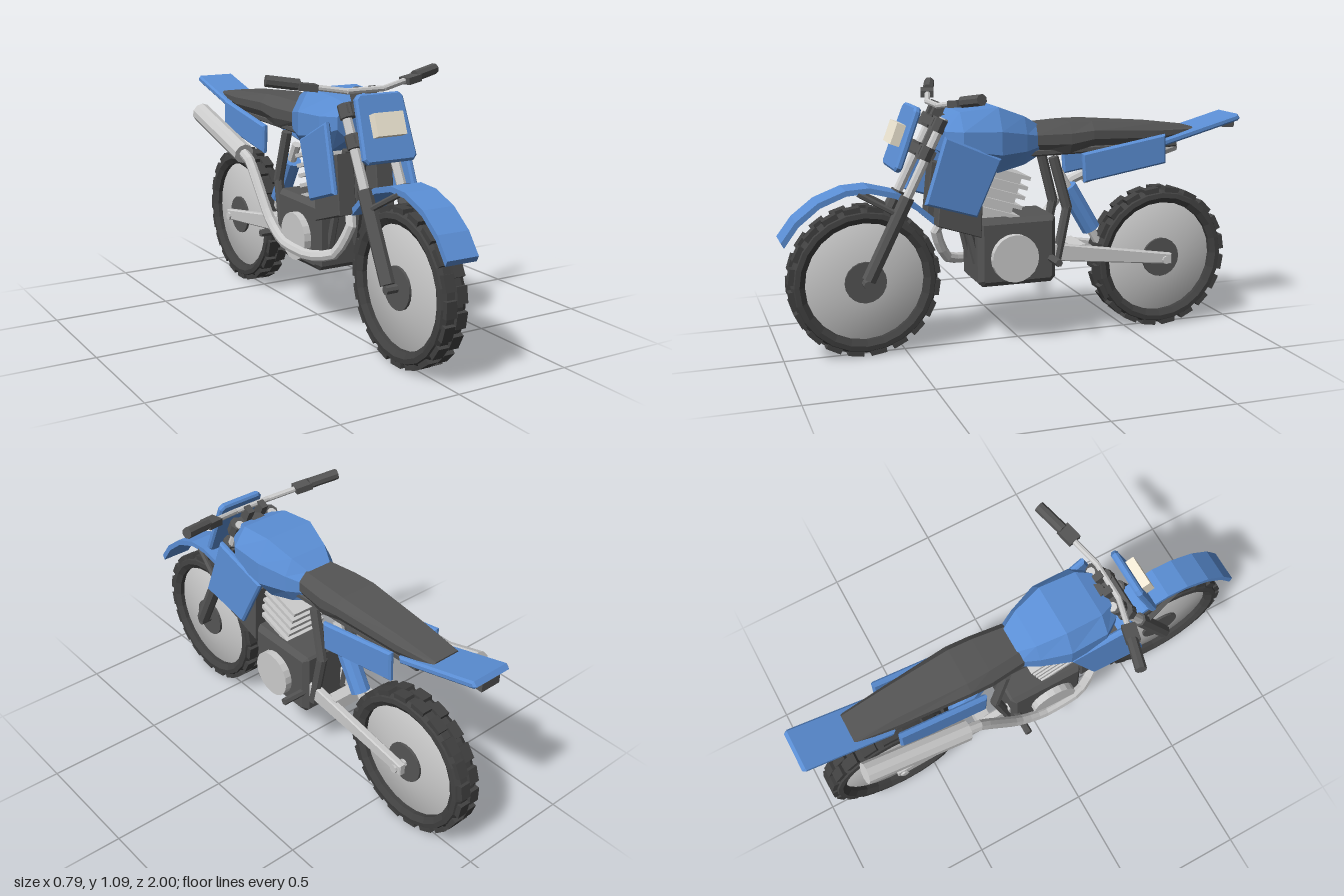
import * as THREE from 'three';

const mat = (color, side = THREE.FrontSide) => new THREE.MeshStandardMaterial({ color, flatShading: true, side });
const BLUE = mat(0x5b8fd6), DARK = mat(0x555555), TYRE = mat(0x414141), LIGHT = mat(0xcccccc), CREAM = mat(0xf2ead6);
const V = (x, y, z) => new THREE.Vector3(x, y, z);

function add(parent, name, geo, material, pos = [0, 0, 0], rotX = 0) {
  const m = new THREE.Mesh(geo, material);
  m.name = name;
  m.position.set(...pos);
  m.rotation.x = rotX;
  parent.add(m);
  return m;
}

const box = (p, name, size, material, pos, rotX) => add(p, name, new THREE.BoxGeometry(...size), material, pos, rotX);

// Round bar between two points
function rod(parent, name, a, b, r0, r1, material, sides = 8) {
  const A = V(...a), B = V(...b), d = B.clone().sub(A);
  const m = add(parent, name, new THREE.CylinderGeometry(r1, r0, d.length(), sides), material);
  m.position.copy(A).add(B).multiplyScalar(0.5);
  m.quaternion.setFromUnitVectors(V(0, 1, 0), d.normalize());
  return m;
}

// Cylinder lying along x
const hub = (p, name, r, width, material, pos, sides = 20) =>
  add(p, name, new THREE.CylinderGeometry(r, r, width, sides).rotateZ(Math.PI / 2), material, pos);

// Bevelled plate: outline in (z, y), centred on x, sheared outwards along z and y
function plate(parent, name, outline, x, thick, material, bevel = 0.008, shearZ = 0, shearY = 0) {
  const shape = new THREE.Shape(outline.map(p => new THREE.Vector2(...p)));
  const geo = new THREE.ExtrudeGeometry(shape, {
    depth: thick - 2 * bevel, bevelEnabled: bevel > 0, bevelThickness: bevel, bevelSize: bevel, bevelOffset: -bevel, bevelSegments: 1,
  });
  geo.translate(0, 0, bevel - thick / 2).rotateY(-Math.PI / 2);
  const n = outline.length, cz = outline.reduce((s, p) => s + p[0], 0) / n, cy = outline.reduce((s, p) => s + p[1], 0) / n;
  const pos = geo.attributes.position;
  for (let i = 0; i < pos.count; i++)
    pos.setX(i, pos.getX(i) + x + shearZ * (pos.getZ(i) - cz) + shearY * (pos.getY(i) - cy));
  geo.computeVertexNormals();
  return add(parent, name, geo, material);
}

// Skin over eight-sided sections [z, half width, bottom, top, top half width, bottom half width], z rising
function loft(parent, name, sections, material) {
  const pts = [], idx = [], last = (sections.length - 1) * 8;
  for (const [z, w, y0, y1, t, b] of sections) {
    const h = y1 - y0, lo = y0 + h * 0.3, hi = y0 + h * 0.65;
    for (const [x, y] of [[w, lo], [w, hi], [t, y1], [-t, y1], [-w, hi], [-w, lo], [-b, y0], [b, y0]]) pts.push(x, y, z);
  }
  for (let s = 0; s < last; s += 8)
    for (let k = 0; k < 8; k++) {
      const a = s + k, b = s + (k + 1) % 8;
      idx.push(a, b, a + 8, b, b + 8, a + 8);
    }
  for (let k = 1; k < 7; k++) idx.push(0, k + 1, k, last, last + k, last + k + 1);
  const geo = new THREE.BufferGeometry();
  geo.setAttribute('position', new THREE.Float32BufferAttribute(pts, 3));
  geo.setIndex(idx);
  geo.computeVertexNormals();
  return add(parent, name, geo, material);
}

function wheel(name, z) {
  const g = new THREE.Group();
  g.name = name;
  g.position.set(0, 0.312, z);
  const ring = [[0.245, -0.042], [0.268, -0.057], [0.288, -0.054], [0.299, -0.034], [0.299, 0.034], [0.288, 0.054], [0.268, 0.057], [0.245, 0.042], [0.245, -0.042]];
  add(g, 'tyre', new THREE.LatheGeometry(ring.map(p => new THREE.Vector2(...p)), 24).rotateZ(Math.PI / 2), TYRE);
  // Shallow dished disc, smooth
  const dish = [[0, -0.042], [0.08, -0.04], [0.25, -0.022], [0.25, 0.022], [0.08, 0.04], [0, 0.042]];
  const smooth = new THREE.MeshStandardMaterial({ color: 0xcccccc });
  add(g, 'wheelDisc', new THREE.LatheGeometry(dish.map(p => new THREE.Vector2(...p)), 32).rotateZ(Math.PI / 2), smooth);
  hub(g, 'hub', 0.086, 0.1, DARK, [0, 0, 0]);
  // Two staggered rows of tread blocks
  const N = 20;
  for (let i = 0; i < N * 2; i++) {
    const a = i * Math.PI / N, side = i % 2 ? 1 : -1;
    box(g, 'treadBlock', [0.046, 0.024, 0.065], TYRE, [side * 0.024, 0.299 * Math.cos(a), 0.299 * Math.sin(a)], a);
  }
  return g;
}

export function createModel() {
  const g = new THREE.Group();
  g.name = 'motorbike';
  g.add(wheel('frontWheel', 0.665), wheel('rearWheel', -0.65));
  rod(g, 'frontAxle', [-0.1, 0.312, 0.665], [0.1, 0.312, 0.665], 0.018, 0.018, DARK);
  rod(g, 'rearAxle', [-0.11, 0.312, -0.65], [0.11, 0.312, -0.65], 0.018, 0.018, LIGHT);

  // Front mudguard, an arched strip
  const arc = [[1, 0.505], [0.94, 0.585], [0.85, 0.655], [0.74, 0.697], [0.645, 0.703], [0.535, 0.675], [0.445, 0.62], [0.37, 0.555]];
  const inner = arc.map(([z, y]) => [0.66 + (z - 0.66) * 0.965, y - 0.022]).reverse();
  plate(g, 'frontMudguard', [...arc, ...inner], 0, 0.138, BLUE, 0);

  // Parts found on both sides
  for (const s of [-1, 1]) {
    rod(g, 'lowerFork', [s * 0.085, 0.33, 0.66], [s * 0.085, 0.66, 0.495], 0.03, 0.03, DARK);
    rod(g, 'upperFork', [s * 0.085, 0.65, 0.5], [s * 0.085, 0.97, 0.34], 0.02, 0.02, LIGHT);
    rod(g, 'mudguardStay', [s * 0.06, 0.68, 0.69], [s * 0.085, 0.6, 0.55], 0.012, 0.012, DARK, 6);
    for (const [y, z] of [[0.945, 0.365], [0.835, 0.42]]) rod(g, 'forkClamp', [s * 0.085, y - 0.025, z + 0.0125], [s * 0.085, y + 0.025, z - 0.0125], 0.034, 0.034, DARK);
    plate(g, 'tankShroud', [[0.36, 0.91], [0.12, 0.805], [0.23, 0.575], [0.45, 0.645]], s * 0.165, 0.028, BLUE, 0.008, s * 0.11, s * -0.02);
    plate(g, 'radiator', [[0.36, 0.78], [0.19, 0.73], [0.2, 0.48], [0.385, 0.54]], s * 0.09, 0.08, DARK, 0.004);
    plate(g, 'rearSidePanel', [[-0.24, 0.805], [-0.62, 0.87], [-0.625, 0.745], [-0.25, 0.682]], s * 0.118, 0.026, BLUE);
    plate(g, 'swingarm', [[-0.12, 0.425], [-0.68, 0.337], [-0.68, 0.29], [-0.12, 0.35]], s * 0.085, 0.032, LIGHT, 0.005);
    rod(g, 'frameUpright', [s * 0.075, 0.79, -0.13], [s * 0.085, 0.57, -0.19], 0.022, 0.022, DARK);
    rod(g, 'frameLower', [s * 0.085, 0.58, -0.19], [s * 0.085, 0.33, -0.14], 0.022, 0.022, DARK);
    rod(g, 'frameRail', [s * 0.075, 0.81, 0], [s * 0.06, 0.82, -0.7], 0.016, 0.016, DARK, 6);
    rod(g, 'frameDownTube', [s * 0.045, 0.78, 0.3], [s * 0.06, 0.36, 0.2], 0.018, 0.018, DARK, 6);
    hub(g, 'engineCover', 0.1, 0.035, LIGHT, [s * 0.138, 0.387, 0.06]);
    rod(g, 'footpeg', [s * 0.09, 0.37, -0.105], [s * 0.22, 0.37, -0.105], 0.016, 0.016, DARK, 6);
    // Handlebar half with control and grip
    const bar = [[0, 1.022, 0.365], [s * 0.085, 1.022, 0.365], [s * 0.2, 1.04, 0.333], [s * 0.28, 1.052, 0.312]];
    for (let i = 0; i < 3; i++) rod(g, 'handlebar', bar[i], bar[i + 1], 0.012, 0.012, LIGHT);
    const control = box(g, 'handControl', [0.075, 0.028, 0.055], DARK, [s * 0.238, 1.044, 0.325]);
    control.rotation.set(0, s * 0.25, s * 0.12);
    rod(g, 'grip', [s * 0.265, 1.053, 0.314], [s * 0.39, 1.072, 0.276], 0.023, 0.023, DARK);
    box(g, 'barClamp', [0.03, 0.06, 0.04], DARK, [s * 0.035, 1.0, 0.352], -0.46);
  }
  box(g, 'upperYoke', [0.2, 0.035, 0.07], DARK, [0, 0.945, 0.36], -0.46);
  box(g, 'lowerYoke', [0.2, 0.035, 0.07], DARK, [0, 0.835, 0.415], -0.46);
  rod(g, 'steeringStem', [0, 0.79, 0.41], [0, 0.98, 0.32], 0.03, 0.03, DARK);

  // Front plate, chamfered at its corners, with lamp
  const w = 0.12, h = 0.135, c = 0.018;
  const outline = new THREE.Shape([[-w + c, -h], [w - c, -h], [w, -h + c], [w - 0.012, h - c], [w - 0.03, h], [-w + 0.03, h], [-w + 0.012, h - c], [-w, -h + c]].map(p => new THREE.Vector2(...p)));
  const front = new THREE.ExtrudeGeometry(outline, { depth: 0.014, bevelThickness: 0.008, bevelSize: 0.008, bevelOffset: -0.008, bevelSegments: 1 });
  add(g, 'frontPlate', front, BLUE, [0, 0.89, 0.487], -0.36);
  box(g, 'headlamp', [0.13, 0.09, 0.045], CREAM, [0, 0.908, 0.52], -0.36);

  // Tank, seat and tail
  loft(g, 'tank', [
    [-0.07, 0.085, 0.80, 0.925, 0.055, 0.07], [0, 0.12, 0.765, 0.965, 0.085, 0.08], [0.12, 0.163, 0.74, 1.01, 0.11, 0.1],
    [0.28, 0.16, 0.78, 0.995, 0.105, 0.1], [0.345, 0.115, 0.83, 0.97, 0.075, 0.07],
  ], BLUE);
  loft(g, 'seat', [
    [-0.78, 0.065, 0.86, 0.888, 0.055, 0.05], [-0.6, 0.085, 0.826, 0.91, 0.065, 0.07], [-0.3, 0.11, 0.83, 0.932, 0.08, 0.09],
    [-0.2, 0.108, 0.805, 0.932, 0.075, 0.09], [-0.05, 0.092, 0.81, 0.925, 0.06, 0.07],
  ], DARK);
  plate(g, 'tail', [[-0.62, 0.838], [-0.985, 0.938], [-1, 0.92], [-0.99, 0.908], [-0.63, 0.81]], 0, 0.18, BLUE, 0.008);
  box(g, 'tailLamp', [0.09, 0.035, 0.05], DARK, [0, 0.893, -0.968]);
  box(g, 'rearCrossbar', [0.13, 0.03, 0.03], DARK, [0, 0.82, -0.66]);

  // Engine: chamfered crankcase and finned cylinder leaning back
  plate(g, 'crankcase', [[0.2, 0.55], [-0.12, 0.55], [-0.13, 0.54], [-0.13, 0.285], [-0.11, 0.265], [0.19, 0.265], [0.21, 0.285], [0.21, 0.535]], 0, 0.25, DARK, 0.022);
  const cyl = new THREE.Group();
  cyl.name = 'cylinder';
  cyl.position.set(0, 0.53, 0.13);
  cyl.rotation.x = -0.3;
  box(cyl, 'barrel', [0.14, 0.23, 0.13], LIGHT, [0, 0.105, 0]);
  for (let i = 0; i < 5; i++) box(cyl, 'fin', [0.19, 0.016, 0.19], LIGHT, [0, 0.045 + i * 0.042, 0]);
  g.add(cyl);

  // Exhaust
  const path = [[-0.02, 0.6, 0.2], [-0.045, 0.5, 0.345], [-0.09, 0.36, 0.29], [-0.15, 0.335, 0.18], [-0.165, 0.35, 0.0], [-0.165, 0.43, -0.13], [-0.165, 0.64, -0.3], [-0.165, 0.675, -0.4]];
  const curve = new THREE.CatmullRomCurve3(path.map(p => V(...p)), false, 'catmullrom', 0.3);
  add(g, 'exhaustPipe', new THREE.TubeGeometry(curve, 24, 0.023, 8), mat(0xcccccc, THREE.DoubleSide));
  rod(g, 'muffler', [-0.165, 0.665, -0.36], [-0.165, 0.79, -0.8], 0.045, 0.045, LIGHT, 10);

  // Rear shock
  rod(g, 'shockRod', [0, 0.72, -0.18], [0, 0.39, -0.37], 0.02, 0.02, LIGHT);
  rod(g, 'shockSpring', [0, 0.645, -0.222], [0, 0.455, -0.335], 0.042, 0.042, BLUE, 10);
  box(g, 'swingarmBrace', [0.17, 0.05, 0.06], LIGHT, [0, 0.38, -0.25], 0.1);
  return g;
}
